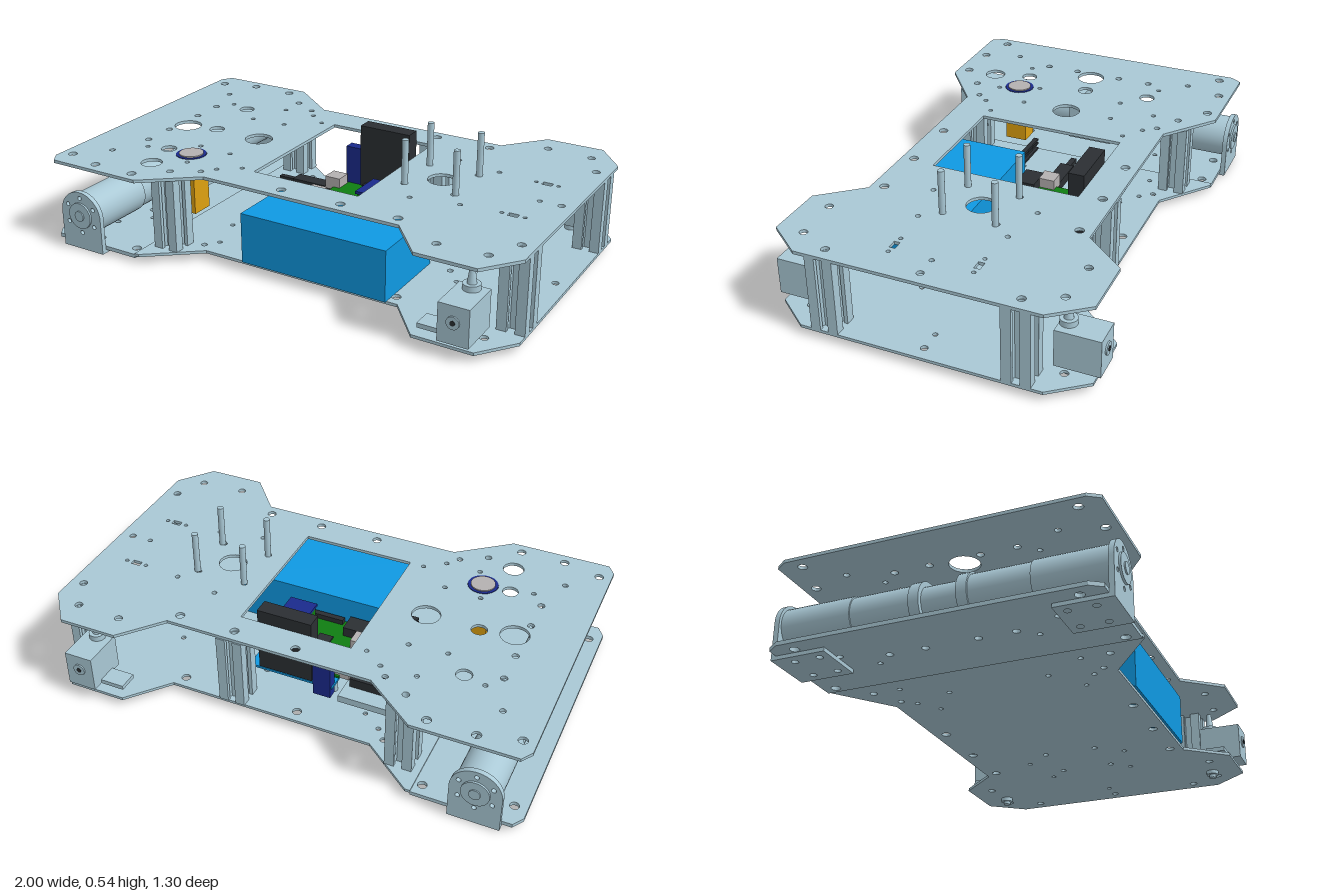
import * as THREE from 'three';

const mat = (color, extra = {}) => new THREE.MeshStandardMaterial({ color, ...extra });
const steel = mat(0xa9c8d5), blue = mat(0x0f99e2), navy = mat(0x1a2a8c), black = mat(0x2b2f33);
const green = mat(0x0f7d12), orange = mat(0xdda010), grey = mat(0xb4b0b0), cream = mat(0xdde0c8);

// Chassis outline for z >= 0, walked from rear to front; mirrored for the other half
const HALF = [[-1, 0.57], [-0.97, 0.615], [-0.56, 0.615], [-0.35, 0.45], [0.51, 0.45], [0.65, 0.615], [0.89, 0.615], [1, 0.475]];
const mirrorZ = pts => [...pts, ...pts.map(([x, z]) => [x, -z]).reverse()];

// Bolt holes [x, z, radius], repeated on both sides
const BOLTS = [[-0.95, 0.525, 0.018], [-0.795, 0.565, 0.018], [-0.61, 0.565, 0.018], [-0.495, 0.47, 0.014],
  [-0.84, 0.41, 0.012], [-0.79, 0.24, 0.014], [-0.79, 0.1, 0.014], [-0.74, 0.305, 0.01], [-0.555, 0.19, 0.01],
  [-0.495, 0.36, 0.01], [-0.39, 0.41, 0.012], [-0.35, 0.36, 0.01], [-0.4, 0.2, 0.01], [-0.27, 0.3, 0.009],
  [-0.02, 0.4, 0.018], [0.24, 0.4, 0.018], [0.48, 0.4, 0.018], [0.35, 0.11, 0.012], [0.43, 0.215, 0.01],
  [0.56, 0.11, 0.012], [0.62, 0.18, 0.01], [0.69, 0.515, 0.016], [0.88, 0.505, 0.016], [0.945, 0.375, 0.016]];
const CUTOUTS = [[-0.75, 0.02, 0.058], [-0.395, 0, 0.058], [0.46, 0, 0.058], [-0.615, -0.005, 0.032],
  [-0.65, -0.28, 0.032], [-0.65, 0.28, 0.032], [-0.615, 0.435, 0.043], [-0.535, 0.28, 0.063]];

const toShape = pts => new THREE.Shape(pts.map(([x, z]) => new THREE.Vector2(x, -z)));
const rectPath = (x0, x1, z0, z1) => new THREE.Path([[x0, z0], [x1, z0], [x1, z1], [x0, z1]].map(([x, z]) => new THREE.Vector2(x, -z)));
const circlePath = (x, z, r) => new THREE.Path().absarc(x, -z, r, 0, Math.PI * 2, true);

// Horizontal plate from y0 to y1
function plate(shape, y0, y1) {
  const g = new THREE.ExtrudeGeometry(shape, { depth: y1 - y0, bevelEnabled: false, curveSegments: 10 });
  return g.rotateX(-Math.PI / 2).translate(0, y0, 0);
}

// Extrusion cross-section: square with a T-slot on each side and a central bore
function profileShape() {
  const h = 0.055, pts = [];
  const side = [[h, -h], [h, -0.016], [0.04, -0.016], [0.04, -0.03], [0.022, -0.016],
    [0.022, 0.016], [0.04, 0.03], [0.04, 0.016], [h, 0.016]];
  for (let k = 0; k < 4; k++) {
    const c = Math.round(Math.cos(k * Math.PI / 2)), s = Math.round(Math.sin(k * Math.PI / 2));
    side.forEach(([x, y]) => pts.push([x * c - y * s, x * s + y * c]));
  }
  const shape = new THREE.Shape(pts.map(p => new THREE.Vector2(...p)));
  shape.holes.push(circlePath(0, 0, 0.014));
  return shape;
}

export function createModel() {
  const model = new THREE.Group();
  const add = (name, geo, material, parent = model) => {
    const m = new THREE.Mesh(geo, material);
    m.name = name;
    parent.add(m);
    return m;
  };
  // Box given by its extents
  const box = (name, x0, x1, y0, y1, z0, z1, material, parent) =>
    add(name, new THREE.BoxGeometry(x1 - x0, y1 - y0, z1 - z0)
      .translate((x0 + x1) / 2, (y0 + y1) / 2, (z0 + z1) / 2), material, parent);
  // Upright and lengthwise cylinders
  const rod = (name, x, z, y0, y1, r, material, parent, rTop = r) =>
    add(name, new THREE.CylinderGeometry(rTop, r, y1 - y0, 24).translate(x, (y0 + y1) / 2, z), material, parent);
  const axle = (name, x, y, z0, z1, r, material, parent) =>
    add(name, new THREE.CylinderGeometry(r, r, Math.abs(z1 - z0), 32).rotateX(Math.PI / 2)
      .translate(x, y, (z0 + z1) / 2), material, parent);
  const bolts = BOLTS.flatMap(([x, z, r]) => [[x, z, r], [x, -z, r]]).concat([[0.945, 0, 0.014], [0.86, 0, 0.01]]);

  // Top deck with window, cutouts and sensor slots
  const top = toShape(mirrorZ(HALF));
  top.holes.push(...bolts.concat(CUTOUTS).map(h => circlePath(...h)), rectPath(-0.21, 0.26, -0.31, 0.305));
  for (const s of [-1, 1]) {
    top.holes.push(rectPath(0.805, 0.845, s * 0.165 - 0.012, s * 0.165 + 0.012));
    for (const x of [0.78, 0.87]) top.holes.push(circlePath(x, s * 0.165, 0.008));
  }
  add('topDeck', plate(top, 0.347, 0.36), steel);

  // Bottom deck and the lower rear strip under the motors
  const low = toShape(mirrorZ([[-0.58, 0.615], ...HALF.slice(2)]));
  low.holes.push(...bolts.filter(h => h[0] > -0.55).map(h => circlePath(...h)));
  add('bottomDeck', plate(low, 0.029, 0.041), steel);
  const strip = toShape(mirrorZ([...HALF.slice(0, 2), [-0.58, 0.615]]));
  strip.holes.push(...bolts.filter(h => h[0] < -0.59).map(h => circlePath(...h)));
  add('rearStrip', plate(strip, 0.02, 0.036), steel);

  // Slotted columns between the decks
  for (const [x, z] of [[-0.495, 0.47], [-0.495, -0.47], [0.945, 0.375], [0.945, -0.375], [0.24, -0.4]])
    add('column', plate(profileShape(), 0.041, 0.347).translate(x, 0, z), steel);

  // Mast posts on the top deck
  for (const x of [0.352, 0.567]) for (const z of [-0.107, 0.107]) rod('post', x, z, 0.36, 0.54, 0.013, steel);

  // Drive motors with their angle brackets, and corner blocks at the other end
  for (const s of [-1, 1]) {
    const motor = new THREE.Group();
    motor.name = 'driveMotor';
    model.add(motor);
    axle('gearbox', -0.83, 0.155, s * 0.615, s * 0.34, 0.088, steel, motor);
    axle('motorBody', -0.83, 0.155, s * 0.34, s * 0.09, 0.083, steel, motor);
    axle('motorCollar', -0.83, 0.155, s * 0.11, s * 0.07, 0.09, steel, motor);
    axle('encoder', -0.83, 0.155, s * 0.07, 0, 0.07, steel, motor);
    const face = new THREE.Shape();
    face.moveTo(-0.1, 0.005);
    face.lineTo(0.1, 0.005);
    face.lineTo(0.1, 0.155);
    face.absarc(0, 0.155, 0.1, 0, Math.PI, false);
    face.closePath();
    for (let k = 0; k < 6; k++) {
      const a = k * Math.PI / 3 + Math.PI / 6;
      face.holes.push(circlePath(Math.cos(a) * 0.075, -0.155 - Math.sin(a) * 0.075, 0.009));
    }
    const bracket = new THREE.ExtrudeGeometry(face, { depth: 0.02, bevelEnabled: false, curveSegments: 20 });
    add('bracketFace', bracket.translate(-0.83, 0, s > 0 ? 0.615 : -0.635), steel, motor);
    const foot = toShape([[-0.93, s * 0.42], [-0.73, s * 0.42], [-0.73, s * 0.62], [-0.93, s * 0.62]]);
    for (const x of [-0.89, -0.77]) for (const z of [0.46, 0.56]) foot.holes.push(circlePath(x, s * z, 0.013));
    add('bracketFoot', plate(foot, 0.005, 0.02), steel, motor);
    axle('hubRing', -0.83, 0.155, s * 0.635, s * 0.643, 0.055, steel, motor);
    axle('hub', -0.83, 0.155, s * 0.643, s * 0.648, 0.022, steel, motor);

    const corner = new THREE.Group();
    corner.name = 'cornerBlock';
    model.add(corner);
    box('block', 0.76, 0.88, 0.062, 0.212, s * 0.55 - 0.087, s * 0.55 + 0.087, steel, corner);
    axle('axleStub', 0.82, 0.148, s * 0.637, s * 0.643, 0.025, steel, corner);
    axle('axleBore', 0.82, 0.148, s * 0.643, s * 0.645, 0.01, black, corner);
    rod('collar', 0.82, s * 0.495, 0.212, 0.235, 0.033, steel, corner);
    rod('spindle', 0.82, s * 0.495, 0.235, 0.3, 0.018, steel, corner, 0.009);
    rod('lowerNut', 0.82, s * 0.495, 0.013, 0.062, 0.026, steel, corner);
    rod('lowerTip', 0.82, s * 0.495, 0, 0.013, 0.015, steel, corner);
    box('sideTab', 0.66, 0.76, 0.06, 0.078, s * 0.55 - 0.04, s * 0.55 + 0.04, steel, corner);
  }
  box('encoderHousing', -0.77, -0.695, 0.07, 0.23, -0.1, 0.1, steel);

  // Battery with its leads
  box('battery', -0.17, 0.465, 0.041, 0.25, 0.095, 0.46, blue);
  box('batteryPlug', 0.465, 0.475, 0.165, 0.185, 0.2, 0.22, black);
  for (const y of [0.19, 0.215, 0.232]) box('batteryLead', -0.325, -0.17, y - 0.005, y + 0.005, 0.1, 0.12, black);

  // Rear button passing through the top deck
  box('buttonBase', -0.578, -0.492, 0.12, 0.275, 0.232, 0.328, orange);
  rod('buttonBody', -0.535, 0.28, 0.275, 0.362, 0.048, grey);
  rod('buttonFlange', -0.535, 0.28, 0.325, 0.335, 0.06, grey);
  rod('buttonRim', -0.535, 0.28, 0.345, 0.362, 0.062, navy);
  rod('buttonCap', -0.535, 0.28, 0.362, 0.367, 0.05, grey);

  // Control boards, stacked on standoffs
  const boards = new THREE.Group();
  boards.name = 'controlBoards';
  model.add(boards);
  for (const x of [-0.1, 0.2]) for (const z of [-0.22, 0.02]) rod('standoff', x, z, 0.041, 0.1, 0.014, steel, boards);
  box('baseBoard', -0.12, 0.245, 0.098, 0.108, -0.285, 0.09, blue, boards);
  box('mainBoard', -0.13, 0.215, 0.128, 0.138, -0.245, 0.09, green, boards);
  box('daughterBoard', 0.09, 0.2, 0.165, 0.228, -0.1, 0.01, green, boards);
  box('displayPanel', 0.09, 0.21, 0.228, 0.24, -0.12, 0.03, navy, boards);
  box('chip', -0.01, 0.05, 0.138, 0.145, -0.09, -0.03, black, boards);
  for (const z of [-0.215, 0.075]) box('pinHeader', -0.01, 0.19, 0.138, 0.16, z - 0.012, z + 0.012, black, boards);
  for (let i = 0; i < 4; i++) box('edgeConnector', 0.215, 0.25, 0.108, 0.138, -0.2 + i * 0.07, -0.145 + i * 0.07, cream, boards);
  box('powerSocket', -0.15, -0.04, 0.138, 0.18, 0, 0.08, black, boards);
  for (const z of [-0.2, -0.03]) {
    box('portShell', -0.17, -0.1, 0.125, 0.18, z - 0.035, z + 0.035, grey, boards);
    box('cablePlug', -0.34, -0.17, 0.09, 0.13, z - 0.03, z + 0.03, black, boards);
    box('cable', -0.42, -0.34, 0.1, 0.12, z - 0.012, z + 0.012, black, boards);
  }
  box('sideModule', -0.36, -0.15, 0.06, 0.09, -0.3, -0.18, steel, boards);

  // Upright slab and its interface board
  box('uprightSlab', -0.04, 0.19, 0.13, 0.41, -0.305, -0.24, black);
  box('uprightBoard', -0.115, -0.04, 0.06, 0.3, -0.295, -0.25, navy);
  return model;
}
